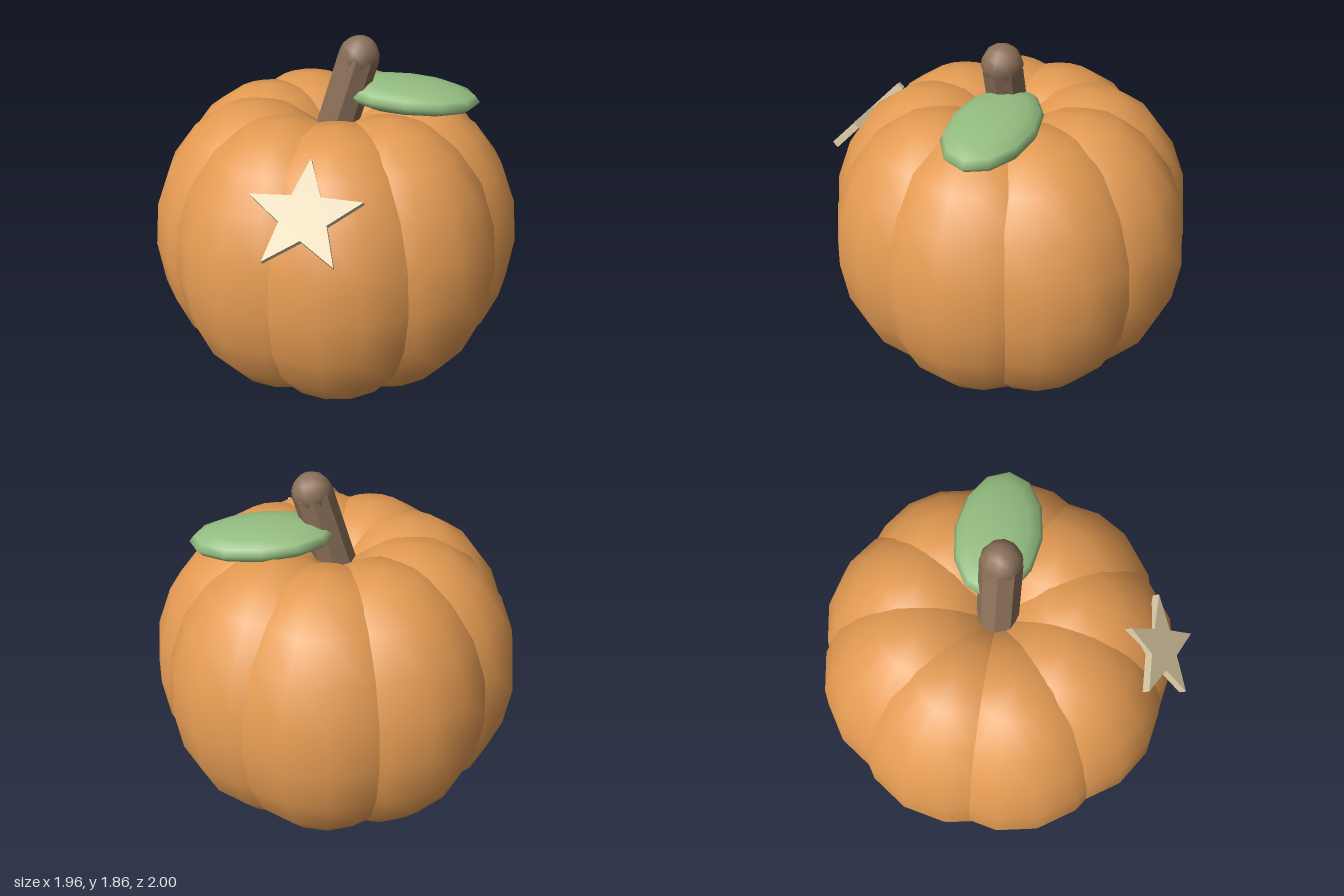
import * as THREE from 'three';

const material = (color, flatShading = false) =>
  new THREE.MeshStandardMaterial({ color, flatShading });

function addPart(parent, name, geometry, mat, position) {
  const mesh = new THREE.Mesh(geometry, mat);
  mesh.name = name;
  mesh.position.set(...position);
  parent.add(mesh);
  return mesh;
}

function starShape(outer, inner, points = 5) {
  const corners = [];
  for (let i = 0; i < points * 2; i++) {
    const r = i % 2 ? inner : outer;
    const a = Math.PI / 2 + (i * Math.PI) / points;
    corners.push(new THREE.Vector2(r * Math.cos(a), r * Math.sin(a)));
  }
  return new THREE.Shape(corners);
}

export function createModel() {
  const model = new THREE.Group();
  model.name = 'pumpkin';
  const cx = -0.013, cz = -0.017;

  // Body: a ring of nine overlapping lobes
  const body = new THREE.Group();
  body.name = 'body';
  model.add(body);
  const orange = material(0xe39a52);
  const lobeGeometry = new THREE.SphereGeometry(0.58, 16, 10).scale(1, 0.765 / 0.58, 1);
  const lobes = 9, ringRadius = 0.412;
  for (let i = 0; i < lobes; i++) {
    const a = (i / lobes) * Math.PI * 2;
    addPart(body, 'lobe', lobeGeometry, orange,
      [cx + ringRadius * Math.cos(a), 0.765, cz + ringRadius * Math.sin(a)]);
  }

  // Stem: leaning faceted post with a rounded tip
  const stem = new THREE.Group();
  stem.name = 'stem';
  stem.position.set(0.107, 1.758, cz);
  stem.rotation.z = -0.29;
  model.add(stem);
  const brown = 0x8c7059;
  addPart(stem, 'stemPost', new THREE.CylinderGeometry(0.105, 0.108, 0.5, 8),
    material(brown, true), [0, -0.25, 0]);
  addPart(stem, 'stemTip', new THREE.SphereGeometry(0.105, 10, 8), material(brown), [0, 0, 0]);

  // Leaf: flattened ellipsoid lying beside the stem
  const leaf = addPart(model, 'leaf',
    new THREE.SphereGeometry(1, 12, 8).scale(0.37, 0.083, 0.222),
    material(0x94bd80), [0.36, 1.55, -0.07]);
  leaf.rotation.z = -0.06;

  // Star plate leaning on the front
  const star = addPart(model, 'star',
    new THREE.ExtrudeGeometry(starShape(0.276, 0.115), { depth: 0.04, bevelEnabled: false })
      .translate(0, 0, -0.04),
    material(0xd8c8a2), [-0.015, 1.286, 0.839]);
  star.rotation.x = -Math.PI / 4;

  return model;
}
